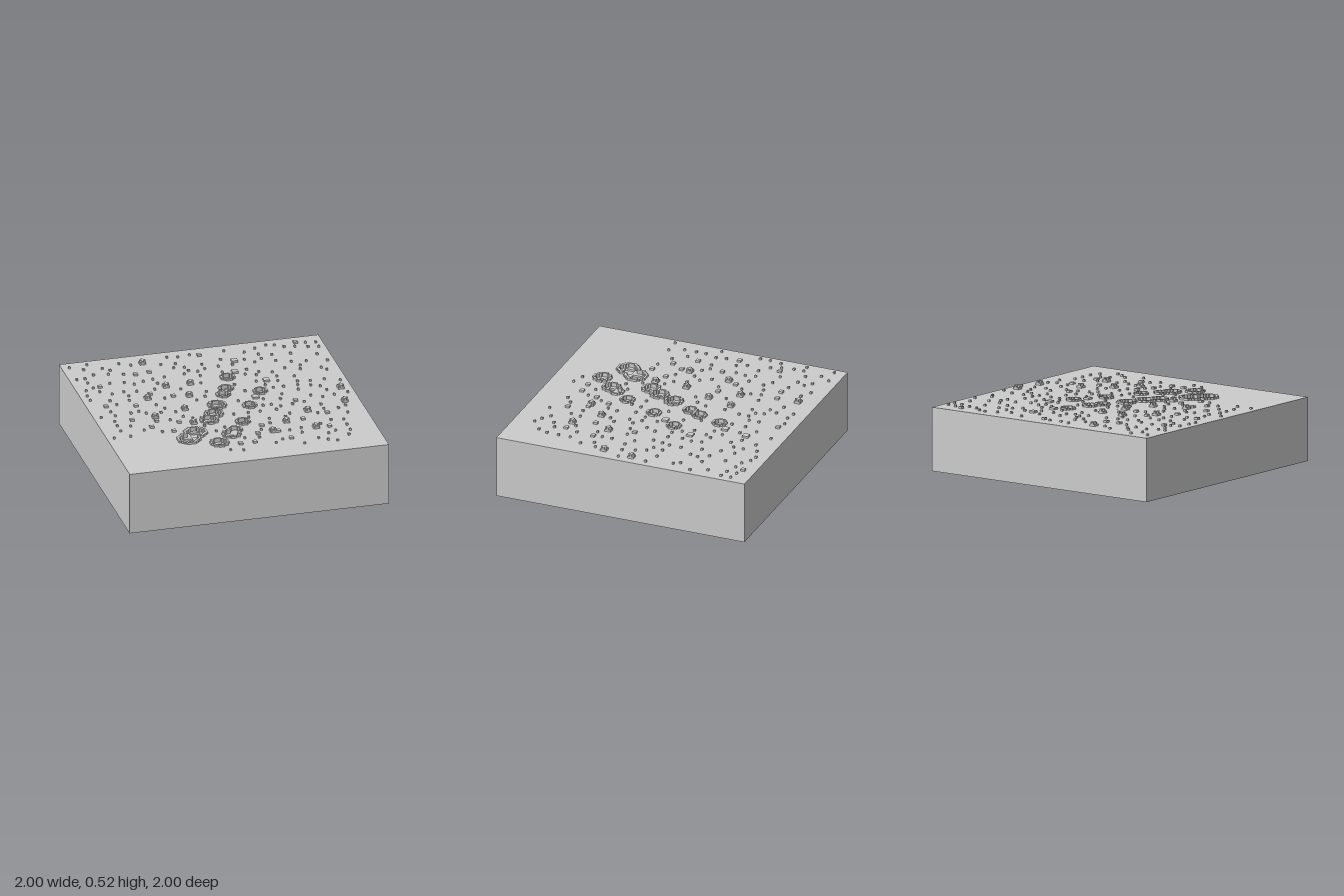
import * as THREE from 'three';
import { mergeGeometries } from 'three/addons/utils/BufferGeometryUtils.js';

const N = 128, V = 2 / N, GROUND = 31; // cells per side, cell size, ground level in cells
const material = new THREE.MeshStandardMaterial({ color: 0xcccccc, flatShading: true });

// Craters as [x, z], grouped by rim radius in cells; pits are radii of successive steps down
const craterSizes = [
  { rim: 5.4, pits: [4.2, 2.9], at: [[-0.34, 0.43], [-0.42, 0.52]] },
  { rim: 4.3, pits: [3.2, 2.0], at: [[-0.05, 0], [-0.12, 0.15], [-0.18, 0.235], [-0.09, 0.52], [-0.21, 0.65]] },
  { rim: 3.3, pits: [2.3], at: [[0.15, -0.44], [0.08, -0.255], [0.035, -0.165], [0.32, -0.15],
    [0.18, 0.075], [0.05, 0.335], [-0.035, 0.46]] },
];
const craters = craterSizes.flatMap(s => s.at.map(([x, z]) => ({ x, z, rim: s.rim, pits: s.pits })));

// Two-layer boulders, flat boulders and small stones as [x, z]
const boulders = [[-0.4, -0.85], [-0.34, -0.41], [-0.15, -0.42], [-0.52, -0.25], [-0.21, -0.21], [-0.3, 0],
  [-0.55, 0.08], [-0.3, 0.26], [0.92, -0.06], [0.88, 0.18], [0.57, 0.27], [0.56, 0.57], [0.36, 0.42], [0.22, 0.55]];
const flatBoulders = [[0.28, -0.71], [0.22, -0.53], [0.42, -0.32], [0.25, -0.05]];
const stones = [[-0.49, -0.66], [-0.38, -0.68], [-0.8, -0.52], [-0.47, -0.3], [-0.63, -0.14], [-0.32, -0.22],
  [-0.56, 0.17], [-0.4, 0.22], [-0.47, 0.37], [0.06, -0.87], [0.8, -0.9], [0.54, 0.08], [0.71, 0.35],
  [0.18, 0.45], [0.5, 0.41], [0.11, 0.57], [0.28, 0.57], [-0.06, 0.71], [0.05, 0.71], [0.34, 0.71],
  [0.67, 0.59], [-0.85, -0.18], [-0.73, 0.1], [-0.61, 0.26]];

const snap = v => Math.floor((v + 1) / V); // cell index holding a coordinate

// Ground level of a cell: pits win over raised rims
function level(i, j) {
  let pit = 0, rim = 0;
  for (const c of craters) {
    const d = Math.hypot(i - snap(c.x), j - snap(c.z));
    if (d < c.rim) rim = 1;
    pit = Math.max(pit, c.pits.filter(r => d < r).length);
  }
  return GROUND + (pit ? -pit : rim);
}

// Solid slab with stepped craters in its top
function slabGeometry() {
  const pos = [];
  const quad = (a, b, c, d) => pos.push(...a, ...b, ...c, ...a, ...c, ...d);
  const P = (i, y, j) => [i * V - 1, y * V, j * V - 1];
  const wall = (i0, j0, i1, j1, y0, y1) =>
    quad(P(i0, y0, j0), P(i1, y0, j1), P(i1, y1, j1), P(i0, y1, j0));
  const h = Array.from({ length: N }, (_, j) => Array.from({ length: N }, (_, i) => level(i, j)));

  for (let j = 0; j < N; j++) {
    // Top faces, joined along each row
    for (let i = 0, s = 0; i < N; i++) {
      if (i + 1 < N && h[j][i + 1] === h[j][i]) continue;
      const y = h[j][i];
      quad(P(s, y, j + 1), P(i + 1, y, j + 1), P(i + 1, y, j), P(s, y, j));
      s = i + 1;
    }
    // Step faces between neighbouring cells
    for (let i = 0; i < N; i++) {
      const y = h[j][i];
      const right = i + 1 < N ? h[j][i + 1] : y, front = j + 1 < N ? h[j + 1][i] : y;
      if (right < y) wall(i + 1, j + 1, i + 1, j, right, y);
      if (right > y) wall(i + 1, j, i + 1, j + 1, y, right);
      if (front < y) wall(i, j + 1, i + 1, j + 1, front, y);
      if (front > y) wall(i + 1, j + 1, i, j + 1, y, front);
    }
  }
  // Four sides and the underside
  wall(0, N, N, N, 0, GROUND);
  wall(N, N, N, 0, 0, GROUND);
  wall(N, 0, 0, 0, 0, GROUND);
  wall(0, 0, 0, N, 0, GROUND);
  quad(P(0, 0, 0), P(N, 0, 0), P(N, 0, N), P(0, 0, N));

  const g = new THREE.BufferGeometry();
  g.setAttribute('position', new THREE.Float32BufferAttribute(pos, 3));
  g.computeVertexNormals();
  return g;
}

// Box of w x d cells, one cell high, centred on cell [x, z] and standing on a layer
function block([x, z], w, d, layer = 0) {
  const cx = snap(x) + (w % 2 ? 0.5 : 0), cz = snap(z) + (d % 2 ? 0.5 : 0);
  return new THREE.BoxGeometry(w * V, V, d * V)
    .translate(cx * V - 1, (GROUND + layer + 0.5) * V, cz * V - 1);
}

// Single-cell pebbles, scattered evenly and kept clear of everything else
function scatterPebbles(count) {
  let seed = 7;
  const rnd = () => (seed = (seed * 16807) % 2147483647) / 2147483647;
  const taken = [...boulders, ...flatBoulders, ...stones];
  const out = [];
  for (let t = 0; t < 6000 && out.length < count; t++) {
    const x = rnd() * 1.9 - 0.95, z = rnd() * 1.78 - 0.93;
    if (z > 0.42 && (x < -0.2 || x > 0.8)) continue;
    if (craters.some(c => Math.hypot(x - c.x, z - c.z) < (c.rim + 2) * V)) continue;
    if ([...taken, ...out].some(p => Math.hypot(x - p[0], z - p[1]) < 0.065)) continue;
    out.push([x, z]);
  }
  return out;
}

export function createModel() {
  const model = new THREE.Group();
  model.name = 'crateredGround';
  const add = (name, geometry) => {
    const mesh = new THREE.Mesh(geometry, material);
    mesh.name = name;
    model.add(mesh);
  };
  add('groundSlab', slabGeometry());
  // Boulders: a square base with a cross-shaped cap
  add('boulders', mergeGeometries(boulders.flatMap(p =>
    [block(p, 3, 3), block(p, 3, 1, 1), block(p, 1, 3, 1)])));
  add('flatBoulders', mergeGeometries(flatBoulders.map(p => block(p, 3, 3))));
  add('stones', mergeGeometries(stones.map(p => block(p, 2, 2))));
  add('pebbles', mergeGeometries(scatterPebbles(180).map(p => block(p, 1, 1))));
  return model;
}
